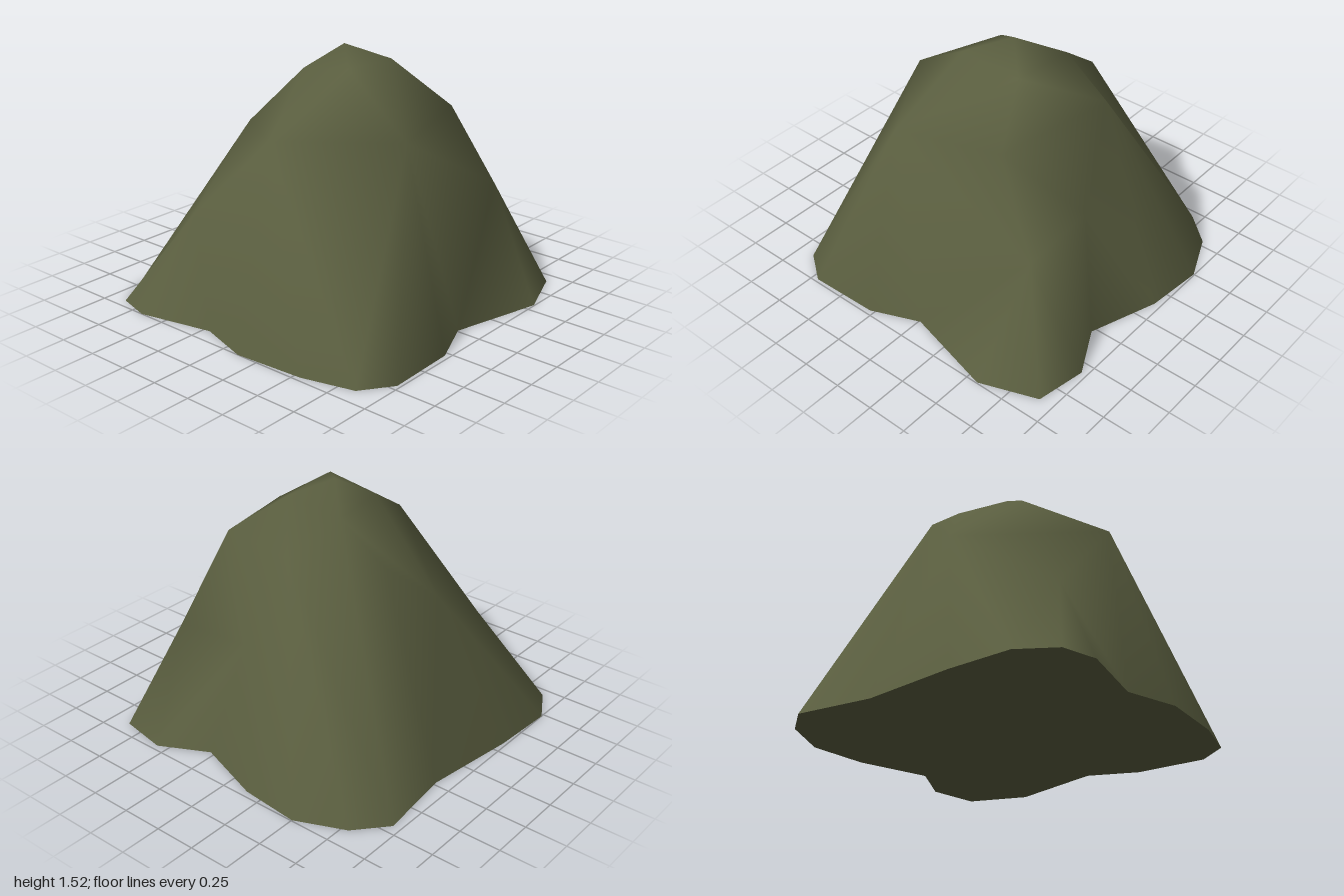
import * as THREE from 'three';

// Key points of the folds, as [x, y, z]
const folds = {
  apex: [0.01, 1.525, 0.01],
  // crown round the apex
  crownFrontRight: [0.2, 1.43, 0.2],
  crownFrontLeft: [-0.19, 1.45, 0.21],
  crownBackLeft: [-0.19, 1.4, -0.12],
  crownBackRight: [0.22, 1.41, -0.2],
  // shoulders
  corner: [0.35, 1.18, 0.52],
  front: [-0.27, 1.14, 0.68],
  side: [-0.67, 1.12, 0.06],
  back: [-0.08, 0.96, -0.66],
  backRidge: [0.185, 1.19, -0.49],
  right: [0.56, 1.27, -0.12],
  // low points half way down
  valley: [0.64, 0.69, 0.145],
  spur: [0.645, 0.66, 0.635],
  backSpur: [-0.7, 0.57, -0.52],
};
// Ground outline as [x, z]
const outline = [
  [0.57, 0.995], [0.01, 0.85], [-0.28, 0.97], [-0.71, 0.98], [-0.89, 0.85],
  [-0.97, 0.54], [-1, 0.11], [-0.9, -0.21], [-1, -0.67], [-0.94, -0.88],
  [-0.73, -1], [-0.34, -0.98], [0.23, -0.9], [0.69, -0.95], [0.87, -0.79],
  [0.995, -0.5], [0.96, -0.14], [0.815, 0.28], [0.965, 0.57], [0.91, 0.87],
];

// Stitches two closed loops; owners[j] is the upper point above lower edge j (null leaves a gap)
function bridge(faces, upper, lower, owners) {
  const n = upper.length, m = lower.length;
  let i = 0;
  owners.forEach((owner, j) => {
    if (owner === null) return;
    for (; i < owner; i++) faces.push(upper[i], upper[(i + 1) % n], lower[j]);
    faces.push(upper[i % n], lower[(j + 1) % m], lower[j]);
  });
}

function makeGeometry(points, faces) {
  const geometry = new THREE.BufferGeometry();
  geometry.setAttribute('position', new THREE.Float32BufferAttribute(points.flat(), 3));
  geometry.setIndex(faces);
  geometry.computeVertexNormals();
  return geometry;
}

export function createModel() {
  const group = new THREE.Group();
  group.name = 'mound';
  const olive = new THREE.MeshStandardMaterial({ color: 0x5b5f40 });
  olive.name = 'olive';

  const names = Object.keys(folds);
  const ids = (text) => text.split(' ').map((name) => names.indexOf(name));
  const ground = outline.map(([x, z]) => [x, 0, z]);
  const groundIds = ground.map((_, i) => names.length + i);
  const faces = [];

  // Cap
  const crown = ids('crownFrontRight crownFrontLeft crownBackLeft crownBackRight');
  crown.forEach((id, i) => faces.push(0, crown[(i + 1) % 4], id));
  bridge(faces, crown, ids('corner front side back backRidge right'), [0, 1, 2, 3, null, 4]);

  // Corner folds
  faces.push(
    ...ids('right corner valley'), ...ids('corner spur valley'),
    ...ids('corner front spur'), ...ids('side back backSpur'),
  );

  // Long draped sides down to the ground
  const hem = ids('spur front side backSpur back backRidge crownBackRight right valley');
  bridge(faces, hem, groundIds, [0, 1, 1, 1, 2, 2, 2, 3, 3, 3, 4, 4, 5, 7, 7, 7, 8, 8, 9, 9]);

  const surface = new THREE.Mesh(makeGeometry([...Object.values(folds), ...ground], faces), olive);
  surface.name = 'outerSurface';
  group.add(surface);

  // Flat underside
  const n = ground.length;
  const fan = ground.flatMap((_, i) => [n, i, (i + 1) % n]);
  const underside = new THREE.Mesh(makeGeometry([...ground, [0, 0, 0]], fan), olive);
  underside.name = 'underside';
  group.add(underside);

  return group;
}
